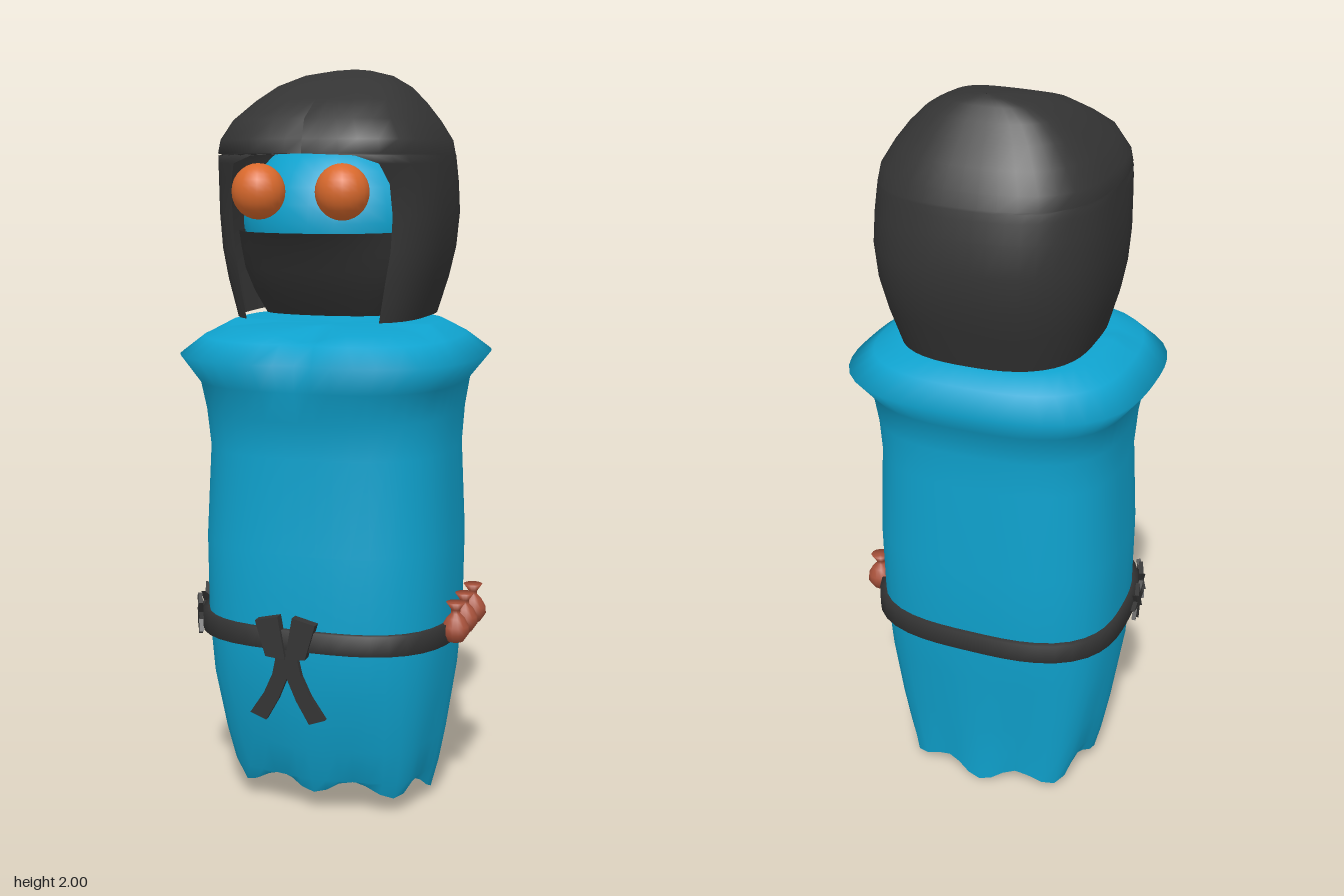
import * as THREE from 'three';

const paint = (color) => new THREE.MeshStandardMaterial({ color, side: THREE.DoubleSide, roughness: 0.8 });
const blue = paint(0x0fa3cf), dark = paint(0x343434), orange = paint(0xd9692c), clay = paint(0xa9523b);

// Grid surface from point(i, j); columns wrap round when closed
function surface(rows, cols, point, closed) {
  const pos = [], index = [], n = closed ? cols : cols + 1;
  for (let i = 0; i < rows; i++) for (let j = 0; j < n; j++) pos.push(...point(i, j / cols));
  for (let i = 0; i < rows - 1; i++) for (let j = 0; j < cols; j++) {
    const k = (j + 1) % n, a = i * n + j, b = i * n + k;
    index.push(a, b, b + n, a, b + n, a + n);
  }
  const g = new THREE.BufferGeometry();
  g.setAttribute('position', new THREE.Float32BufferAttribute(pos, 3));
  g.setIndex(index);
  g.computeVertexNormals();
  return g;
}

// Rounded square ring: half width, front z, back z, centre z
function ring(a, w, zf, zb, zc, n) {
  const s = Math.sin(a), c = Math.cos(a);
  const r = (Math.abs(s) ** n + Math.abs(c) ** n) ** (-1 / n);
  return [r * s * w, zc + r * c * (c > 0 ? zf - zc : zc - zb)];
}

// Robe rows: y, half width, front z, back z
const ROBE = [
  [0, 0.265, 0.19, -0.235], [0.1, 0.285, 0.21, -0.24], [0.2, 0.305, 0.245, -0.25],
  [0.37, 0.33, 0.295, -0.27], [0.53, 0.34, 0.31, -0.29], [0.75, 0.342, 0.31, -0.3],
  [1.0, 0.33, 0.295, -0.295], [1.1, 0.337, 0.315, -0.3], [1.18, 0.35, 0.34, -0.31],
  [1.25, 0.405, 0.368, -0.365], [1.3, 0.34, 0.33, -0.31], [1.335, 0.275, 0.265, -0.25],
  [1.33, 0.15, 0.15, -0.14], [1.325, 0.001, 0.001, -0.001],
];

// Hood rows: y, half width, front z, back z, centre z, half width of face opening
const HOOD = [
  [1.35, 0.25, 0.235, -0.29, -0.05, 0.19], [1.45, 0.28, 0.235, -0.325, -0.05, 0.205],
  [1.53, 0.297, 0.235, -0.35, -0.05, 0.22], [1.62, 0.305, 0.235, -0.36, -0.05, 0.225],
  [1.7, 0.302, 0.25, -0.347, -0.05, 0.22], [1.75, 0.297, 0.273, -0.335, -0.05, 0.195],
  [1.77, 0.295, 0.28, -0.33, -0.05, 0.13], [1.775, 0.294, 0.28, -0.328, -0.05, 0],
  [1.81, 0.288, 0.273, -0.315, -0.05, 0], [1.86, 0.255, 0.255, -0.287, -0.06, 0],
  [1.91, 0.213, 0.17, -0.247, -0.08, 0], [1.95, 0.17, 0.09, -0.215, -0.1, 0],
  [1.98, 0.115, -0.01, -0.19, -0.12, 0], [1.995, 0.05, -0.1, -0.17, -0.14, 0],
  [2.0, 0.001, -0.149, -0.151, -0.15, 0],
];

// Cup-shaped mask rows: y, half width, front z
const MASK = [[1.36, 0.17, 0.16], [1.42, 0.2, 0.205], [1.48, 0.22, 0.24], [1.53, 0.225, 0.265], [1.578, 0.225, 0.3]];

function robePoint(i, t) {
  const a = t * Math.PI * 2, [y, w, zf, zb] = ROBE[i];
  const fold = 1 + 0.035 * Math.max(0, 1 - y / 0.42) * Math.cos(8 * a);
  let [x, z] = ring(a, w, zf, zb, -0.01, 2.8);
  let py = y;
  if (i === 0) py = 0.048 - 0.02 * Math.cos(8 * a) + 0.028 * Math.cos(a);
  const notch = Math.max(0, 1 - Math.abs(x) / 0.09) * (z > 0 ? 1 : 0);
  if (i >= 9 && i <= 11) z -= 0.028 * notch;
  if (i === 11) py -= 0.025 * notch + 0.015 * (z > 0.1 ? 1 : 0);
  return [x * fold, py, z * fold];
}

function hoodPoint(i, t) {
  const [y, w, zf, zb, zc, open] = HOOD[i];
  const a0 = Math.atan(open / w / 0.93);
  const a = a0 + (Math.PI * 2 - 2 * a0) * t;
  const [x, z] = ring(a, w, zf, zb, zc, Math.cos(a) > 0 ? 3.4 : 2.6);
  return [x, y, z];
}

function maskPoint(i, t) {
  const [y, w, zf] = MASK[i], a = (t - 0.5) * Math.PI;
  return [w * Math.sin(a), y, 0.06 + (zf - 0.06) * Math.cos(a) ** 0.7];
}

// Belt: rectangular section swept round the waist
function beltPoint(i, t) {
  const a = t * Math.PI * 2;
  const [dy, d] = [[-0.027, 0], [-0.027, 0.017], [0.027, 0.017], [0.027, 0]][i];
  const [x, z] = ring(a, 0.34 + d, 0.31 + d, -0.29 - d, -0.01, 2.8);
  return [x, 0.525 + dy - 0.01 * Math.sin(a) ** 2, z];
}

function flat(points, depth) {
  const shape = new THREE.Shape(points.map(([x, y]) => new THREE.Vector2(x, y)));
  return new THREE.ExtrudeGeometry(shape, { depth, bevelEnabled: false });
}

export function createModel() {
  const model = new THREE.Group();
  const add = (name, geometry, material, x = 0, y = 0, z = 0, parent = model) => {
    const mesh = new THREE.Mesh(geometry, material);
    mesh.name = name;
    mesh.position.set(x, y, z);
    parent.add(mesh);
    return mesh;
  };

  add('robe', surface(ROBE.length, 48, robePoint, true), blue);
  add('hood', surface(HOOD.length, 40, hoodPoint, false), dark);
  add('mask', surface(MASK.length, 16, maskPoint, false), dark);

  // Head inside the hood
  add('head', new THREE.SphereGeometry(1, 24, 16), blue, 0, 1.6, -0.04).scale.set(0.265, 0.235, 0.275);
  for (const x of [-0.13, 0.095])
    add('eye', new THREE.SphereGeometry(1, 20, 14), orange, x, 1.68, 0.24).scale.set(0.069, 0.071, 0.067);

  add('belt', surface(4, 48, beltPoint, true), dark);

  // Knot: two flared loops and two curved tails
  const knot = new THREE.Group();
  knot.name = 'knot';
  knot.position.set(-0.03, 0.53, 0.308);
  model.add(knot);
  for (const side of [-1, 1]) {
    const m = (p) => p.map(([x, y]) => [x * side, y]);
    add('knotLoop', flat(m([[0.0, -0.055], [0.055, -0.05], [0.083, 0.045], [0.02, 0.06]]), 0.028), dark, 0, 0, 0, knot);
    const tail = add('knotTail', flat(m([
      [-0.02, -0.03], [0.025, -0.03], [0.04, -0.1], [0.065, -0.155], [0.105, -0.215],
      [0.06, -0.232], [0.025, -0.17], [0.0, -0.11],
    ]), 0.014), dark, 0, 0, 0.006, knot);
    tail.rotation.x = 0.04;
  }

  // Bottles on the left hip
  const profile = [[0, -0.038], [0.022, -0.034], [0.037, -0.012], [0.036, 0.008], [0.024, 0.03],
    [0.012, 0.042], [0.012, 0.052], [0.026, 0.072], [0, 0.068]].map(([x, y]) => new THREE.Vector2(x, y));
  const bottle = new THREE.LatheGeometry(profile, 14);
  for (const z of [0.095, 0, -0.095]) add('bottle', bottle, clay, 0.366, 0.53, z);

  // Throwing stars on the right hip
  const points = [];
  for (let k = 0; k < 16; k++) {
    const r = k % 2 ? 0.024 : 0.058, a = (k * Math.PI) / 8;
    points.push([r * Math.cos(a), r * Math.sin(a)]);
  }
  const star = flat(points, 0.012);
  for (const [x, z, turn] of [[-0.36, 0.06, -1.5], [-0.335, 0.17, -1.1]])
    add('throwingStar', star, dark, x, 0.525, z).rotation.y = turn;

  return model;
}
